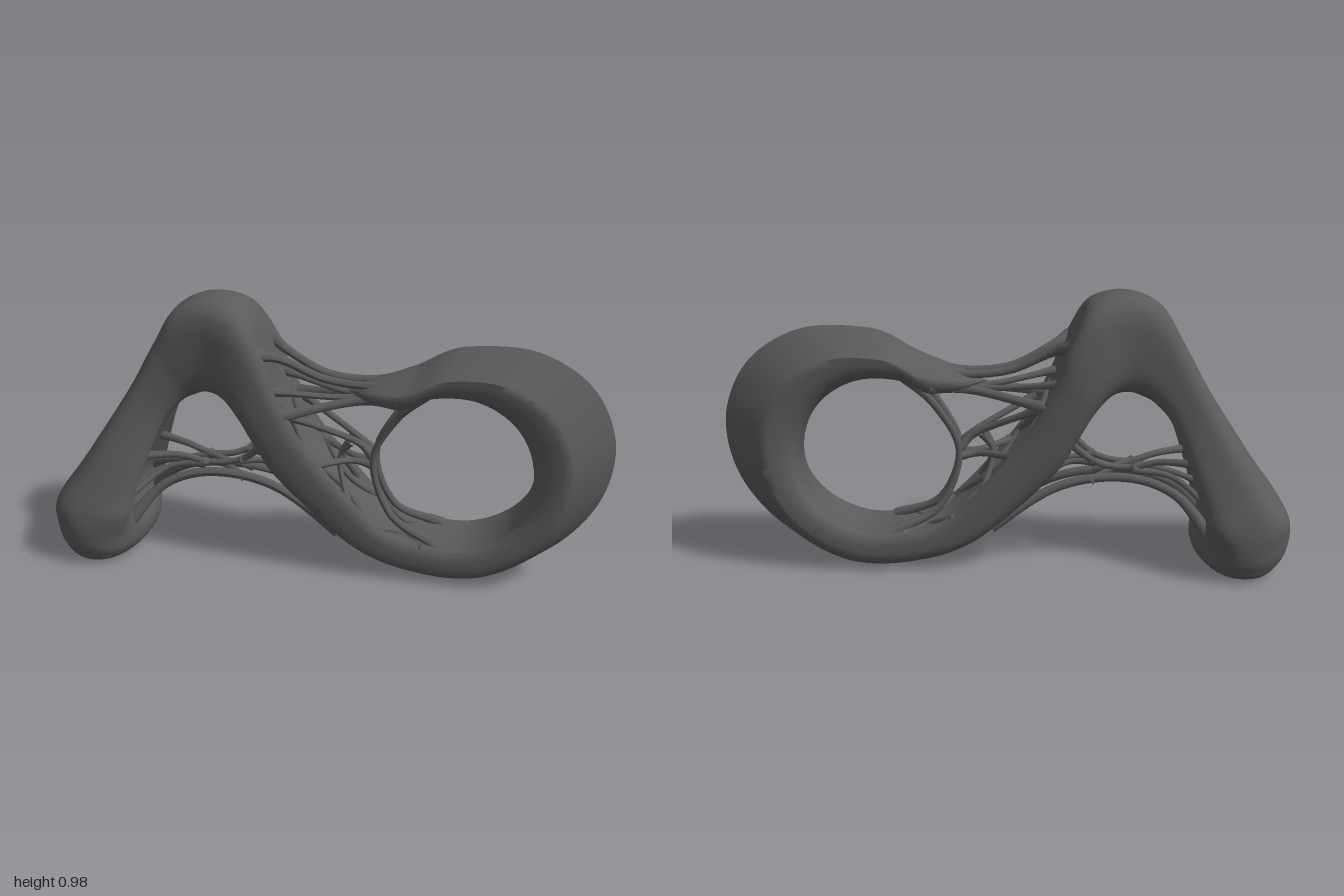
import * as THREE from 'three';
import { toCreasedNormals } from 'three/addons/utils/BufferGeometryUtils.js';

const grey = new THREE.MeshStandardMaterial({ color: 0x5a5a5a });
grey.name = 'graphite grey';

const vec = (x, y, z) => new THREE.Vector3(x, y, z);
const spline = (points) => new THREE.CatmullRomCurve3(points, false, 'catmullrom', 0.5);
const signedPow = (x, p) => Math.sign(x) * Math.pow(Math.abs(x), p);

// One station: edge A, edge B, half width, hollow (+ on side A, - on side B),
// ridge on side B, roundness of the corners
const station = (ax, ay, bx, by, width, hollow, ridge, round) => ({
  a: vec(ax, ay, width), b: vec(bx, by, 0), shape: vec(hollow, ridge, round),
});

// Foot, leg, bend and falling channel
const body = [
  [-0.82, 0.002, -0.82, 0.002, 0, 0],
  [-0.92, 0.008, -0.72, 0.006, 0.205, 0],
  [-0.98, 0.06, -0.665, 0.045, 0.252, 0],
  [-1, 0.14, -0.65, 0.11, 0.265, -0.02],
  [-0.97, 0.23, -0.65, 0.19, 0.255, -0.15],
  [-0.87, 0.37, -0.63, 0.28, 0.215, -0.26],
  [-0.7, 0.63, -0.565, 0.49, 0.135, -0.16],
  [-0.605, 0.8, -0.505, 0.585, 0.112, -0.05],
  [-0.52, 0.935, -0.455, 0.625, 0.113, 0],
  [-0.4, 0.985, -0.4, 0.64, 0.122, 0],
  [-0.275, 0.955, -0.34, 0.62, 0.15, 0],
  [-0.195, 0.85, -0.285, 0.555, 0.164, 0.1],
  [-0.125, 0.68, -0.235, 0.47, 0.16, 0.26],
  [-0.01, 0.48, -0.145, 0.335, 0.15, 0.3],
  [0.22, 0.22, 0.12, 0.1, 0.14, 0.26],
].map((s, i) => station(...s, 0, i < 4 ? 0.88 : 0.58));

// Ring: round opening inside, wider and slightly leaning outline outside
const ring = Array.from({ length: 8 }, (_, i) => {
  const angle = THREE.MathUtils.degToRad(-105 + 30 * i);
  const c = Math.cos(angle), s = Math.sin(angle);
  return station(
    0.455 + 0.278 * c, 0.423 + 0.266 * s,
    0.535 + 0.065 * s + 0.465 * c, 0.436 + 0.436 * s,
    0.124 - 0.012 * s, Math.max(0, -0.2 * s),
    THREE.MathUtils.smoothstep(angle, -1.75, -0.15), 0.68,
  );
});

const tail = [
  station(0.28, 0.63, 0.32, 0.78, 0.118, 0.15, 0.85, 0.75),
  station(0.17, 0.64, 0.18, 0.72, 0.085, 0.2, 0.5, 0.85),
  station(0.08, 0.67, 0.08, 0.67, 0, 0, 0.3, 1),
];

const stations = [...body, ...ring, ...tail];
const edgeA = spline(stations.map((s) => s.a));
const edgeB = spline(stations.map((s) => s.b));
const shapes = spline(stations.map((s) => s.shape));

// Sweep a changing cross-section between the two edges
function bandGeometry(steps, sides) {
  const positions = [], index = [];
  for (let j = 0; j <= steps; j++) {
    const A = edgeA.getPoint(j / steps), B = edgeB.getPoint(j / steps);
    const { x: hollow, y: ridge, z: round } = shapes.getPoint(j / steps);
    for (let i = 0; i < sides; i++) {
      const angle = (i / sides) * Math.PI * 2;
      const v = signedPow(Math.sin(angle), round);
      let u = signedPow(Math.cos(angle), round);
      const dip = 2 * Math.pow(Math.max(0, 1 - (v / 0.82) ** 2), 0.7);
      if (u > 0) {
        u = THREE.MathUtils.lerp(u, 1 - Math.abs(v), THREE.MathUtils.clamp(ridge, 0, 1));
        u -= dip * Math.max(-hollow, 0);
      } else {
        u += dip * Math.max(hollow, 0);
      }
      const k = (u + 1) / 2;
      const y = THREE.MathUtils.lerp(A.y, B.y, k);
      positions.push(THREE.MathUtils.lerp(A.x, B.x, k), Math.max(0, y), v * Math.max(A.z, 0));
    }
  }
  for (let j = 0; j < steps; j++) {
    for (let i = 0; i < sides; i++) {
      const n = (i + 1) % sides, p = j * sides, q = p + sides;
      index.push(p + i, q + i, p + n, q + i, q + n, p + n);
    }
  }
  const geometry = new THREE.BufferGeometry();
  geometry.setAttribute('position', new THREE.Float32BufferAttribute(positions, 3));
  geometry.setIndex(index);
  return toCreasedNormals(geometry, 0.8);
}

// Thin sinew whose ends flare into the band
function strandGeometry(points, radius) {
  const curve = spline(points), segments = 28, sides = 10;
  const geometry = new THREE.TubeGeometry(curve, segments, radius, sides, false);
  const p = geometry.attributes.position, v = vec(0, 0, 0);
  for (let i = 0; i <= segments; i++) {
    const t = i / segments, centre = curve.getPointAt(t);
    const flare = 0.9 + 0.6 * Math.abs(2 * t - 1) ** 4;
    for (let k = 0; k <= sides; k++) {
      const n = i * (sides + 1) + k;
      v.fromBufferAttribute(p, n).sub(centre).multiplyScalar(flare).add(centre);
      p.setXYZ(n, v.x, v.y, v.z);
    }
  }
  geometry.computeVertexNormals();
  return geometry;
}

export function createModel() {
  const model = new THREE.Group();
  model.name = 'sculpture';

  const band = new THREE.Mesh(bandGeometry(290, 64), grey);
  band.name = 'band';
  model.add(band);

  // Mirrored pair of strands; depth runs from z0 to z1 and sags towards the middle plane
  const strand = (name, radius, z0, z1, ...xy) => {
    const pair = new THREE.Group();
    pair.name = name;
    for (const side of [1, -1]) {
      const points = xy.map(([x, y], i) => {
        const t = i / (xy.length - 1);
        const z = THREE.MathUtils.lerp(z0, z1, t) * (1 - 2.4 * t * (1 - t));
        return vec(x, y, side * z);
      });
      const mesh = new THREE.Mesh(strandGeometry(points, radius), grey);
      mesh.name = side > 0 ? 'frontStrand' : 'backStrand';
      pair.add(mesh);
    }
    model.add(pair);
  };

  // Web under the bend
  strand('lowerArchStrand', 0.018, 0.13, 0.09, [-0.7, 0.14], [-0.58, 0.27], [-0.4, 0.325], [-0.17, 0.295], [0.07, 0.16]);
  strand('upperArchStrand', 0.013, 0.1, 0.08, [-0.66, 0.39], [-0.53, 0.385], [-0.42, 0.36], [-0.3, 0.385], [-0.19, 0.48]);
  strand('footStrand', 0.012, 0.14, 0.04, [-0.7, 0.24], [-0.58, 0.32], [-0.43, 0.355]);
  strand('archTie', 0.013, 0.04, 0.05, [-0.44, 0.36], [-0.36, 0.345], [-0.28, 0.315]);
  strand('archBranch', 0.012, 0.05, 0.08, [-0.3, 0.385], [-0.2, 0.375], [-0.1, 0.33]);

  // Web between the tail and the bend
  strand('upperTailStrand', 0.016, 0.04, 0.1, [0.27, 0.715], [0.15, 0.7], [0, 0.715], [-0.14, 0.78], [-0.21, 0.81]);
  strand('lowerTailStrand', 0.018, 0.09, 0.12, [0.28, 0.67], [0.12, 0.645], [-0.13, 0.6]);
  strand('tailBranch', 0.012, 0.03, 0.1, [0.17, 0.69], [0.08, 0.65], [-0.16, 0.68]);

  // Web closing the left of the ring opening
  strand('ringStrand', 0.014, 0.08, 0.09, [0.37, 0.71], [0.26, 0.59], [0.18, 0.42], [0.25, 0.22], [0.42, 0.135]);
  strand('upperRingTie', 0.013, 0.025, 0.1, [0.18, 0.43], [0.11, 0.49], [-0.09, 0.59]);
  strand('lowerRingTie', 0.013, 0.025, 0.1, [0.18, 0.4], [0.1, 0.41], [0.0, 0.42]);
  strand('ringBranch', 0.011, 0.04, 0.1, [0.1, 0.49], [0.06, 0.41], [0.1, 0.29]);

  // Ties laced across the hollow of the channel
  for (let i = 0; i < 3; i++) {
    const points = [0, 0.5, 1].map((f) => {
      const t = (12 + i + f) / (stations.length - 1);
      return edgeA.getPoint(t).lerp(edgeB.getPoint(t), 0.2);
    });
    strand('channelTie', 0.012, 0.115, 0.115, ...points.map((p) => [p.x, p.y]));
  }
  return model;
}
